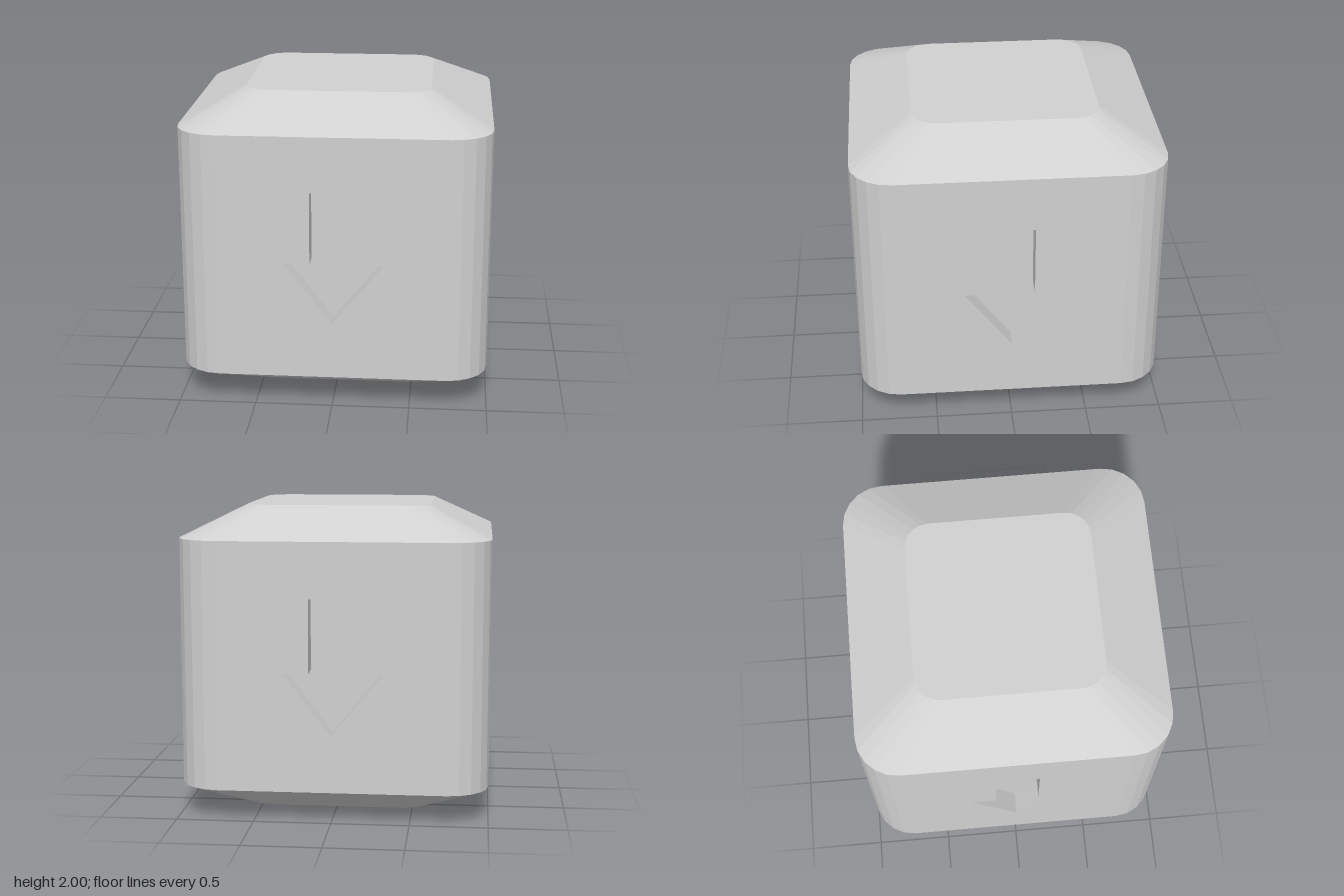
import * as THREE from 'three';

const RADIUS = 0.27, STEPS = 5, DEPTH = 0.14;
const FLAT = 1 - RADIUS; // half width of the flat part of each side
const LOW = 0.2, HIGH = 1.8, CAP = 0.6;

// Arrow outline, clockwise from the top left
const ARROW = [[-0.14, 1.44], [0.145, 1.44], [0.145, 0.97], [0.33, 0.97], [0, 0.57], [-0.305, 0.97], [-0.14, 0.97]];

// One rounded corner (towards +x +z, turned by k quarter turns) at height y
function corner(k, y, scale = 1) {
  return Array.from({ length: STEPS + 1 }, (_, i) => {
    const a = (i / STEPS) * Math.PI / 2;
    return new THREE.Vector3(FLAT + RADIUS * Math.sin(a), 0, FLAT + RADIUS * Math.cos(a))
      .multiplyScalar(scale).applyAxisAngle(new THREE.Vector3(0, 1, 0), k * Math.PI / 2).setY(y);
  });
}

const ring = (y, scale) => [0, 1, 2, 3].flatMap(k => corner(k, y, scale));

// Faceted strip of quads between two rows of points
function strip(a, b, closed) {
  const pos = [];
  const n = a.length;
  for (let i = 0; i < (closed ? n : n - 1); i++) {
    const j = (i + 1) % n;
    for (const p of [a[i], a[j], b[j], a[i], b[j], b[i]]) pos.push(p.x, p.y, p.z);
  }
  const geo = new THREE.BufferGeometry();
  geo.setAttribute('position', new THREE.Float32BufferAttribute(pos, 3));
  geo.computeVertexNormals();
  return geo;
}

export function createModel() {
  const model = new THREE.Group();
  model.name = 'arrowBlock';
  const grey = new THREE.MeshStandardMaterial({ color: 0xd0d0d0 });
  grey.name = 'light grey';

  const add = (parent, name, geo) => {
    const mesh = new THREE.Mesh(geo, grey);
    mesh.name = name;
    parent.add(mesh);
    return mesh;
  };

  // Sloping bevels and flat caps
  add(model, 'topBevel', strip(ring(HIGH, 1), ring(2, CAP), true));
  add(model, 'bottomBevel', strip(ring(0, CAP), ring(LOW, 1), true));
  const capShape = new THREE.Shape(ring(0, CAP).map(p => new THREE.Vector2(p.x, p.z)));
  add(model, 'topCap', new THREE.ShapeGeometry(capShape).rotateX(-Math.PI / 2).translate(0, 2, 0));
  add(model, 'bottomCap', new THREE.ShapeGeometry(capShape).rotateX(Math.PI / 2));

  // Side panel with an arrow cut out, the recess walls and its floor
  const arrow2 = ARROW.map(([x, y]) => new THREE.Vector2(x, y));
  const panel = new THREE.Shape([[-FLAT, LOW], [FLAT, LOW], [FLAT, HIGH], [-FLAT, HIGH]].map(p => new THREE.Vector2(...p)));
  panel.holes.push(new THREE.Path(arrow2));
  const panelGeo = new THREE.ShapeGeometry(panel).translate(0, 0, 1);
  const floorGeo = new THREE.ShapeGeometry(new THREE.Shape(arrow2)).translate(0, 0, 1 - DEPTH);
  const outline = z => ARROW.map(([x, y]) => new THREE.Vector3(x, y, z));
  const wallGeo = strip(outline(1 - DEPTH), outline(1), true);
  const cornerGeo = strip(corner(0, LOW), corner(0, HIGH), false);

  ['front', 'left', 'back', 'right'].forEach((name, k) => {
    const side = new THREE.Group();
    side.name = name + 'Side';
    side.rotation.y = k * Math.PI / 2;
    add(side, 'panel', panelGeo);
    add(side, 'arrowFloor', floorGeo);
    add(side, 'arrowWalls', wallGeo);
    add(side, 'roundedCorner', cornerGeo);
    model.add(side);
  });
  return model;
}
